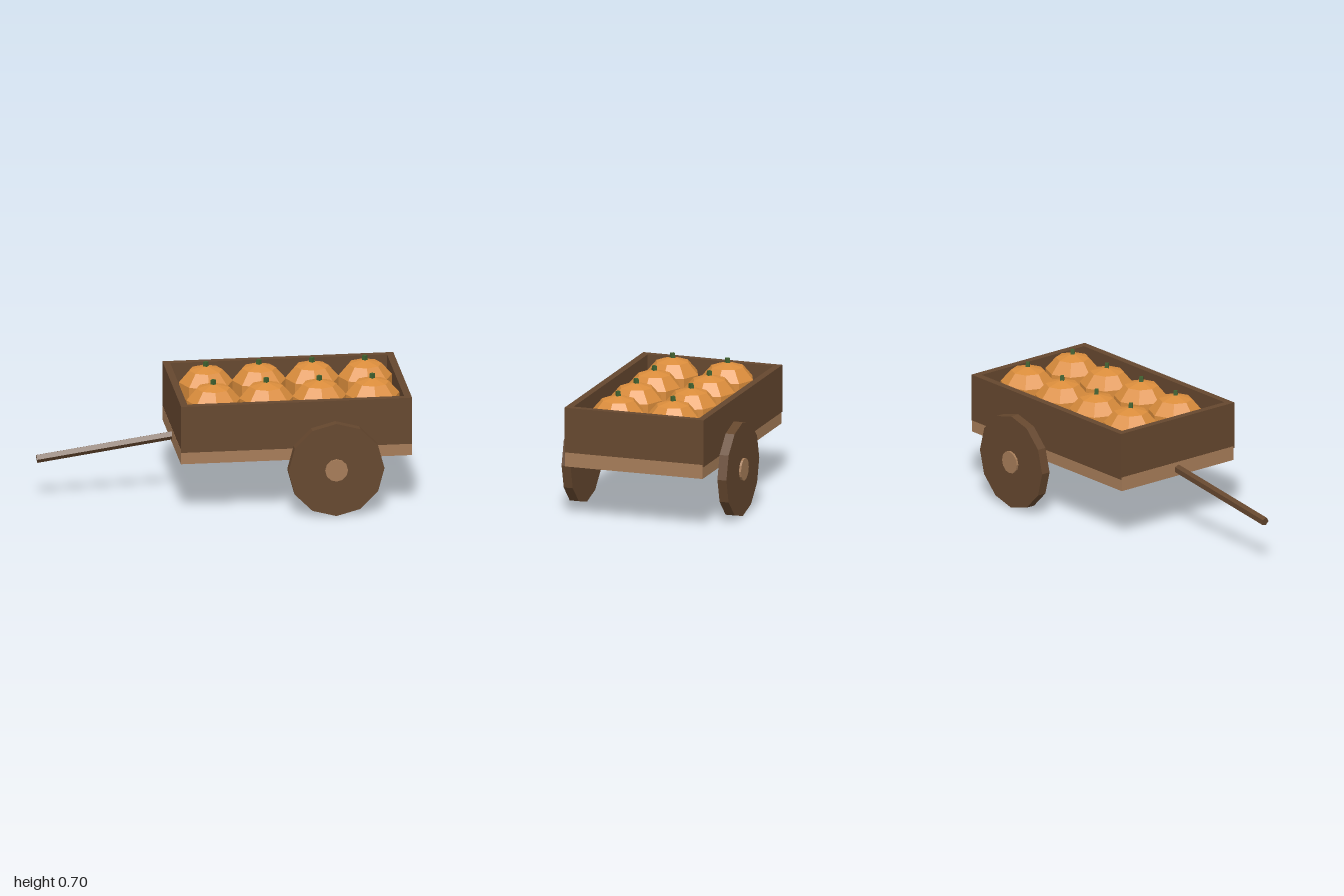
import * as THREE from 'three';

const paint = (name, color) => {
  const m = new THREE.MeshStandardMaterial({ color, flatShading: true });
  m.name = name;
  return m;
};

export function createModel() {
  const darkWood = paint('dark wood', 0x65472e);
  const lightWood = paint('light wood', 0xa67c58);
  const orange = paint('pumpkin orange', 0xdb8d3c);
  const green = paint('stem green', 0x40602f);

  const cart = new THREE.Group();
  cart.name = 'pumpkinCart';

  const add = (parent, name, geometry, material, x, y, z) => {
    const mesh = new THREE.Mesh(geometry, material);
    mesh.name = name;
    mesh.position.set(x, y, z);
    parent.add(mesh);
    return mesh;
  };
  const box = (name, material, x0, x1, y0, y1, z0, z1) =>
    add(cart, name, new THREE.BoxGeometry(x1 - x0, y1 - y0, z1 - z0), material,
      (x0 + x1) / 2, (y0 + y1) / 2, (z0 + z1) / 2);

  // Floor of the cart
  box('bed', lightWood, -0.261, 1, 0.304, 0.382, -0.395, 0.395);

  // Four walls: the long ones overlap the edges of the bed, the ends stand on it
  box('leftWall', darkWood, -0.26, 0.999, 0.37, 0.632, 0.361, 0.4);
  box('rightWall', darkWood, -0.26, 0.999, 0.37, 0.632, -0.4, -0.361);
  box('tailWall', darkWood, 0.96, 0.999, 0.382, 0.632, -0.361, 0.361);
  box('headWall', darkWood, -0.26, -0.222, 0.382, 0.632, -0.361, 0.361);

  // Wheels with hubs
  const wheelGeo = new THREE.CylinderGeometry(0.262, 0.262, 0.052, 12).rotateX(Math.PI / 2);
  const hubGeo = new THREE.CylinderGeometry(0.062, 0.062, 0.076, 12).rotateX(Math.PI / 2);
  for (const side of [1, -1]) {
    const wheel = new THREE.Group();
    wheel.name = side > 0 ? 'leftWheel' : 'rightWheel';
    wheel.position.set(0.577, 0.262, side * 0.448);
    add(wheel, 'disc', wheelGeo, darkWood, 0, 0, 0);
    add(wheel, 'hub', hubGeo, lightWood, 0, 0, 0);
    cart.add(wheel);
  }

  // Five-sided pull handle, sloping down from the bed
  const tip = new THREE.Vector2(-0.997, 0.239);
  const root = new THREE.Vector2(-0.2, 0.351);
  const slope = root.clone().sub(tip);
  const handle = add(cart, 'handle',
    new THREE.CylinderGeometry(0.024, 0.024, slope.length(), 5), darkWood,
    (tip.x + root.x) / 2, (tip.y + root.y) / 2, 0);
  handle.rotation.z = slope.angle() - Math.PI / 2;

  // Two rows of squashed pumpkins with stems
  const pumpkinGeo = new THREE.SphereGeometry(0.155, 8, 5).scale(1, 0.84, 1);
  const stemGeo = new THREE.CylinderGeometry(0.014, 0.018, 0.05, 4);
  for (const z of [-0.158, 0.158]) {
    for (let i = 0; i < 4; i++) {
      const pumpkin = new THREE.Group();
      pumpkin.name = 'pumpkin';
      pumpkin.position.set(-0.054 + i * 0.289, 0.548, z);
      add(pumpkin, 'fruit', pumpkinGeo, orange, 0, 0, 0);
      add(pumpkin, 'stem', stemGeo, green, 0, 0.127, 0);
      cart.add(pumpkin);
    }
  }
  return cart;
}
